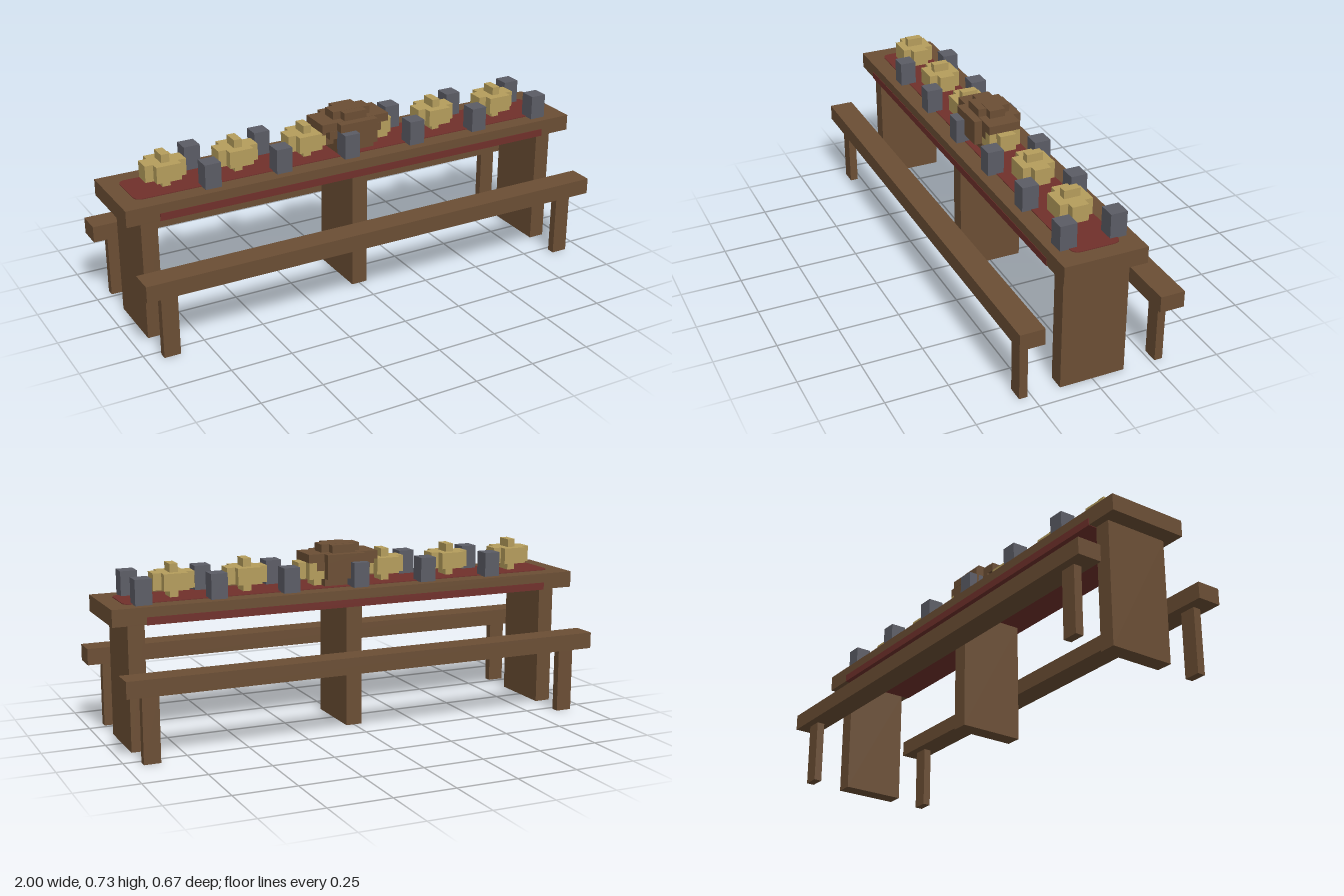
import * as THREE from 'three';

const U = 1 / 30; // one block

const mat = (name, color) => {
  const m = new THREE.MeshStandardMaterial({ color });
  m.name = name;
  return m;
};

export function createModel() {
  const wood = mat('wood', 0x6b4e34);
  const gold = mat('gold', 0xb59d5c);
  const pewter = mat('pewter', 0x5b5c65);
  const red = mat('redCloth', 0x70302b);
  const model = new THREE.Group();
  model.name = 'banquetTable';

  // Box given by its limits in blocks
  const box = (parent, name, material, x0, x1, y0, y1, z0, z1) => {
    const g = new THREE.BoxGeometry((x1 - x0) * U, (y1 - y0) * U, (z1 - z0) * U);
    g.translate((x0 + x1) * U / 2, (y0 + y1) * U / 2, (z0 + z1) * U / 2);
    const mesh = new THREE.Mesh(g, material);
    mesh.name = name;
    parent.add(mesh);
    return mesh;
  };
  const group = (name) => {
    const g = new THREE.Group();
    g.name = name;
    model.add(g);
    return g;
  };

  // Table
  const table = group('table');
  box(table, 'tableTop', wood, -30, 30, 15, 17, -5, 5);
  for (const x of [-27, 0, 27]) box(table, 'tableLeg', wood, x - 1, x + 1, 0, 15, -4, 4);

  // Benches
  for (const s of [-1, 1]) {
    const bench = group(s > 0 ? 'frontBench' : 'backBench');
    box(bench, 'benchSeat', wood, -30, 30, 8, 10, s * 8.5 - 1.5, s * 8.5 + 1.5);
    for (const x of [-27, 27])
      box(bench, 'benchLeg', wood, x - 1, x + 1, 0, 8, s * 8.5 - 0.5, s * 8.5 + 0.5);
  }

  // Cloth runner with rounded corners, plus the red underside and its edges
  const w = 28 * U, d = 2.9 * U, r = 0.035;
  const shape = new THREE.Shape();
  shape.moveTo(-w + r, -d);
  shape.lineTo(w - r, -d);
  shape.quadraticCurveTo(w, -d, w, -d + r);
  shape.lineTo(w, d - r);
  shape.quadraticCurveTo(w, d, w - r, d);
  shape.lineTo(-w + r, d);
  shape.quadraticCurveTo(-w, d, -w, d - r);
  shape.lineTo(-w, -d + r);
  shape.quadraticCurveTo(-w, -d, -w + r, -d);
  const cloth = new THREE.ExtrudeGeometry(shape, { depth: 0.003, bevelEnabled: false });
  cloth.rotateX(-Math.PI / 2);
  const runner = new THREE.Mesh(cloth, red);
  runner.name = 'runner';
  runner.position.y = 17 * U;
  table.add(runner);
  box(table, 'underCloth', red, -26, 26, 14.94, 15.02, -5, 5);
  for (const s of [-1, 1])
    box(table, 'clothEdge', red, -26, 26, 14.94, 15.85, s * 5 - 0.05, s * 5 + 0.05);

  // Goblets in pairs and gold dishes between them
  for (let i = 0; i < 6; i++) {
    const x = -19 + 9 * i;
    for (const s of [-1, 1])
      box(model, 'goblet', pewter, x - 1, x + 1, 17, 20, s * 3 - 1, s * 3 + 1);

    const dish = group('dish');
    const c = -23.5 + 9 * i;
    box(dish, 'dishBody', gold, c - 1.5, c + 1.5, 18, 20, -2, 2);
    for (const s of [-1, 1])
      box(dish, 'dishEnd', gold, c + s * 2 - 0.5, c + s * 2 + 0.5, 18, 20, -1, 1);
    box(dish, 'dishFoot', gold, c - 0.5, c + 0.5, 17, 18, -1, 1);
    box(dish, 'dishKnob', gold, c - 0.5, c + 0.5, 20, 21, -1, 1);
  }

  // Roast in stepped layers: half length, half depth, bottom, top
  const roast = group('roast');
  const layers = [
    [2.5, 2.03, 17, 18],
    [3.5, 1.03, 18, 19],
    [2.5, 2.97, 18, 20],
    [3.5, 2.05, 19, 20.02],
    [4.5, 1.05, 19.3, 20.02],
    [4.5, 2, 20, 21.03],
    [2.5, 3, 20, 21],
    [2.5, 1, 21, 22],
    [1.5, 2, 21, 21.98],
  ];
  for (const [hx, hz, y0, y1] of layers)
    box(roast, 'roastLayer', wood, 0.5 - hx, 0.5 + hx, y0, y1, -hz, hz);

  return model;
}
